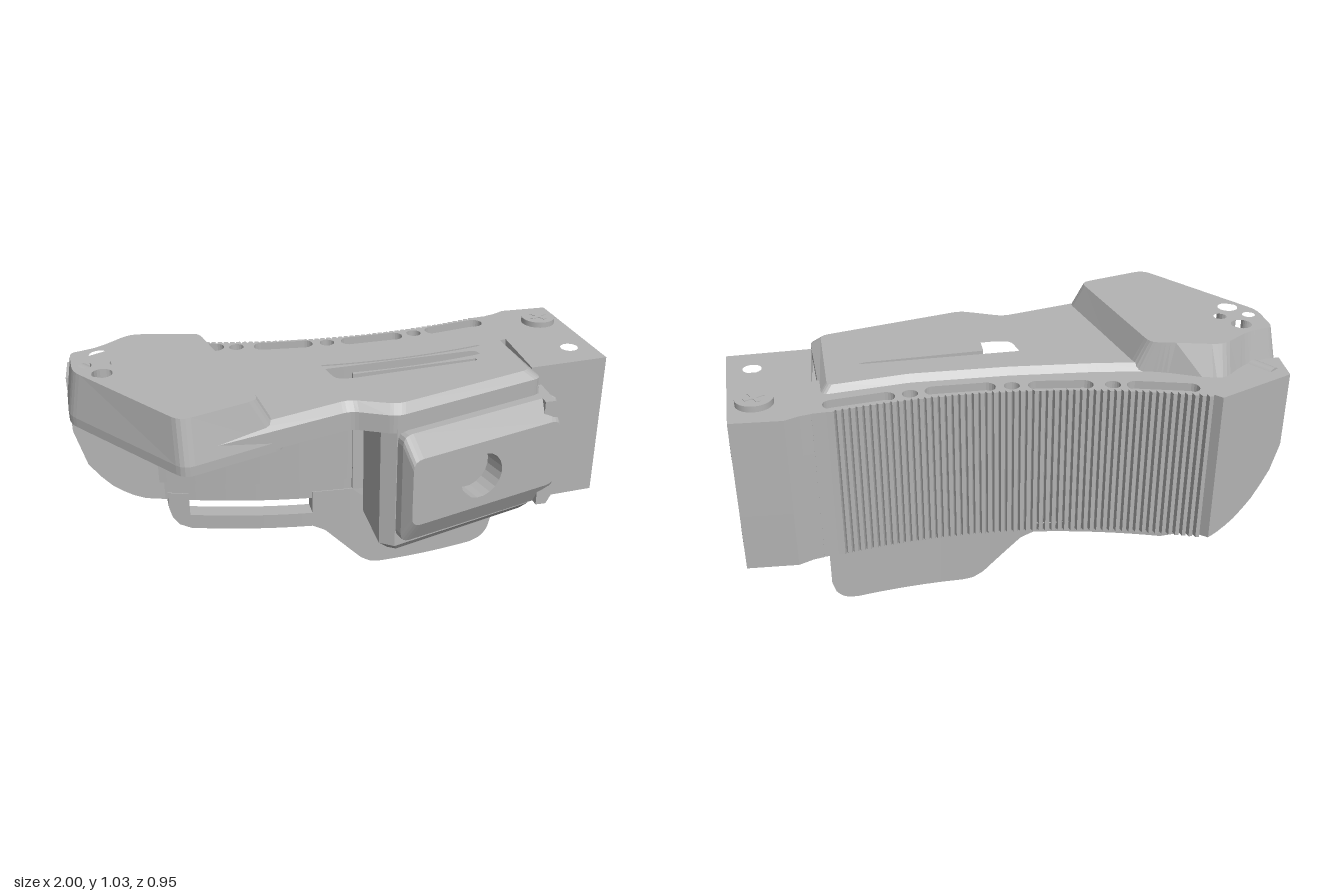
import * as THREE from 'three';
import { mergeGeometries } from 'three/addons/utils/BufferGeometryUtils.js';

const grey = new THREE.MeshStandardMaterial({ color: 0xb3b3b3 });
grey.name = 'plain grey';

// Polygon with softened corners
function soften(pts, r, n = 4) {
  const out = [];
  pts.forEach((p, i) => {
    const toward = (q) => {
      const d = Math.hypot(q[0] - p[0], q[1] - p[1]);
      const k = Math.min(r, d * 0.45) / d;
      return [p[0] + (q[0] - p[0]) * k, p[1] + (q[1] - p[1]) * k];
    };
    const a = toward(pts[(i + pts.length - 1) % pts.length]);
    const b = toward(pts[(i + 1) % pts.length]);
    for (let j = 0; j <= n; j++) {
      const t = j / n, u = 1 - t;
      out.push([0, 1].map((k) => u * u * a[k] + 2 * u * t * p[k] + t * t * b[k]));
    }
  });
  return out;
}

// Round-ended slot outline; equal ends give a circle
function capsule(ax, az, bx, bz, r, n = 10) {
  const dir = Math.atan2(bz - az, bx - ax), out = [];
  for (let j = 0; j < 2 * n; j++) {
    const t = dir + Math.PI / 2 + ((j + 0.5) / n) * Math.PI;
    const [cx, cz] = j < n ? [ax, az] : [bx, bz];
    out.push([cx + r * Math.cos(t), cz + r * Math.sin(t)]);
  }
  return out;
}
const circle = (x, z, r) => capsule(x, z, x, z, r);

// Prism along +z, optionally tapering from its outline to a matching top outline
function prism(outline, depth, holes = [], top = null) {
  const vec = (l) => l.map((p) => new THREE.Vector2(p[0], p[1]));
  const shape = new THREE.Shape(vec(outline));
  holes.forEach((h) => shape.holes.push(new THREE.Path(vec(h))));
  const g = new THREE.ExtrudeGeometry(shape, { depth, bevelEnabled: false });
  const pos = g.attributes.position;
  if (top) {
    for (let i = 0; i < pos.count; i++) {
      if (pos.getZ(i) < depth / 2) continue;
      const k = outline.findIndex((p) => Math.hypot(p[0] - pos.getX(i), p[1] - pos.getY(i)) < 1e-5);
      if (k >= 0) pos.setXY(i, top[k][0], top[k][1]);
    }
    g.computeVertexNormals();
  }
  return g;
}

// Plan outline in (x, z) raised from y0 to y1
function flat(outline, y0, y1, holes = [], top = null) {
  const flip = (l) => l.map(([x, z]) => [x, -z]);
  return prism(flip(outline), y1 - y0, holes.map(flip), top && flip(top))
    .rotateX(-Math.PI / 2).translate(0, y0, 0);
}

// Piecewise linear function through points
const through = (pts) => (x) => {
  let i = 0;
  while (i < pts.length - 2 && x > pts[i + 1][0]) i++;
  const [a, b] = [pts[i], pts[i + 1]];
  return THREE.MathUtils.lerp(a[1], b[1], THREE.MathUtils.clamp((x - a[0]) / (b[0] - a[0]), 0, 1));
};

// Arc followed by the ribbed back, and by the inner face of the curved body
const backZ = (x) => -0.33 - 0.225 * (x - 0.12) ** 2;
const innerZ = (x) => backZ(x) + 0.25;

// Curved wall between two heights and two depths
function wall(x0, x1, lo, hi, zb, zf, n = 32) {
  const g = new THREE.BoxGeometry(1, 1, 1, n, 1, 1), p = g.attributes.position;
  for (let i = 0; i < p.count; i++) {
    const x = x0 + (x1 - x0) * (p.getX(i) + 0.5);
    p.setXYZ(i, x, p.getY(i) > 0 ? hi(x) : lo(x), p.getZ(i) > 0 ? zf(x) : zb(x));
  }
  g.computeVertexNormals();
  return g;
}

export function createModel() {
  const model = new THREE.Group();
  const add = (name, geometry, parent = model) => {
    const m = new THREE.Mesh(geometry, grey);
    m.name = name;
    parent.add(m);
    return m;
  };

  // Curved body: ribbed back, rounded lower end, perforated strip
  const outline = [[0.71, innerZ(0.7)], [0.71, -0.395], [0.64, backZ(0.63)]];
  const ribs = 56, pitch = 1.31 / ribs;
  for (let i = 0; i < ribs; i++) {
    const x = 0.63 - i * pitch;
    outline.push([x, backZ(x)], [x - pitch * 0.6, backZ(x)], [x - pitch * 0.8, backZ(x) + 0.013]);
  }
  for (let i = 0; i <= 8; i++) outline.push([-0.7 - 0.0363 * i, -0.48 + 0.0175 * i]);
  for (let i = 0; i <= 8; i++) outline.push([-1 + 0.04 * i, -0.2 - 0.003 * i]);
  for (let i = 1; i < 24; i++) outline.push([-0.68 + i * 0.058, innerZ(-0.68 + i * 0.058)]);
  const slots = [[-0.61, -0.39, -0.43, -0.345], [-0.25, -0.312, -0.09, -0.295],
    [0.09, -0.282, 0.27, -0.285], [0.44, -0.305, 0.62, -0.335]];
  const singles = [[-0.35, -0.328], [0, -0.286], [0.355, -0.295]].map(([x, z]) => circle(x, z, 0.028));
  const slotHoles = slots.map((s) => capsule(...s, 0.034)).concat(singles);
  const dots = slots.flatMap(([ax, az, bx, bz]) => [0, 1, 2, 3].map((i) =>
    circle(ax + (bx - ax) * i / 3, az + (bz - az) * i / 3, 0.024))).concat(singles);
  const lowEdge = through([[-1, 0.7], [-0.985, 0.6], [-0.95, 0.53], [-0.89, 0.45], [-0.82, 0.39], [-0.75, 0.355], [-0.68, 0.34]]);
  const body = mergeGeometries([flat(outline, 0.34, 0.37, slotHoles),
    flat(outline, 0.37, 0.89, dots), flat(outline, 0.89, 0.92, slotHoles)]);
  const bp = body.attributes.position;
  for (let i = 0; i < bp.count; i++) {
    const lo = lowEdge(bp.getX(i));
    bp.setY(i, lo + (0.92 - lo) * (bp.getY(i) - 0.34) / 0.58);
  }
  body.computeVertexNormals();
  add('curvedBody', body);
  add('innerPanel', wall(-0.71, 0.06, () => 0.42, () => 0.8, innerZ, (x) => innerZ(x) + 0.008));

  // End block: stacked layers, with pockets open on the end face
  const endX = (z) => 0.965 + 0.035 * (z + 0.425) / 0.525;
  const blockOutline = (notch) => [[0.69, 0.12], [0.69, -0.395], [0.73, -0.405], [0.78, -0.43], [0.962, -0.425],
    ...(notch ? [[endX(notch[0]), notch[0]], [notch[2], notch[0]], [notch[2], notch[1]], [endX(notch[1]), notch[1]]] : []),
    [1, 0.1]];
  const longNotch = [-0.385, 0.07, 0.74];
  [[0.34, 0.42, null, [circle(0.885, -0.29, 0.034)]], [0.42, 0.495, longNotch], [0.495, 0.555],
    [0.555, 0.715, [-0.29, 0.015, 0.76]], [0.715, 0.77], [0.77, 0.845, longNotch],
    [0.845, 0.92, null, [circle(0.9, -0.02, 0.034)]],
  ].forEach(([y0, y1, notch, holes]) => add('endBlockLayer', flat(blockOutline(notch), y0, y1, holes)));
  add('latch', new THREE.BoxGeometry(0.08, 0.09, 0.06).translate(0.79, 0.635, -0.215));

  // Screws with cross marks, and their pins inside the pockets
  [[0.88, 0.92, -0.29, 1], [0.9, 0.34, -0.015, -1]].forEach(([x, y, z, s]) => {
    const screw = new THREE.Group();
    screw.name = 'screw';
    screw.position.set(x, y, z);
    add('screwHead', new THREE.CylinderGeometry(0.066, 0.066, 0.022, 32).translate(0, s * 0.011, 0), screw);
    add('screwPin', new THREE.CylinderGeometry(0.033, 0.033, 0.155, 20).translate(0, -s * 0.0775, 0), screw);
    [0.5, 0.5 + Math.PI / 2].forEach((a) =>
      add('screwCross', new THREE.BoxGeometry(0.075, 0.004, 0.016).rotateY(a).translate(0, s * 0.022, 0), screw));
    model.add(screw);
  });

  // Low cover plate with its long window
  const windowHole = soften([[-0.085, -0.06], [0.545, -0.09], [0.555, 0.035], [0.5, 0.06], [0.0, 0.1], [-0.055, 0.09]], 0.03);
  const lowBase = [[-0.6, -0.26], [-0.3, -0.225], [0, -0.21], [0.35, -0.215], [0.66, -0.265], [0.695, 0.2],
    [0.1, 0.37], [-0.05, 0.295], [-0.6, 0.45]];
  const lowTop = [[-0.6, -0.23], [-0.3, -0.2], [0, -0.185], [0.35, -0.19], [0.635, -0.24], [0.655, 0.18],
    [0.11, 0.335], [-0.05, 0.265], [-0.6, 0.425]];
  add('coverEdge', flat(soften(lowBase, 0.03), 0.845, 0.915, [windowHole]));
  add('coverTop', flat(soften(lowBase, 0.03), 0.915, 0.945, [windowHole], soften(lowTop, 0.03)));

  // Raised end of the cover with four small holes
  const highBase = [[-1, -0.2], [-0.94, -0.22], [-0.86, -0.25], [-0.75, -0.36], [-0.52, -0.255], [-0.42, -0.235],
    [-0.29, 0.36], [-0.65, 0.48], [-1, 0]];
  const highTop = [[-0.975, -0.17], [-0.93, -0.18], [-0.87, -0.2], [-0.75, -0.29], [-0.55, -0.245], [-0.5, -0.235],
    [-0.375, 0.355], [-0.65, 0.445], [-0.97, -0.01]];
  const highHoles = [[-0.87, -0.13, 0.038], [-0.87, 0.03, 0.037], [-0.925, -0.05, 0.024], [-0.815, -0.05, 0.024]]
    .map((h) => circle(...h));
  add('raisedCoverEdge', flat(soften(highBase, 0.04), 0.835, 0.87, highHoles.slice(0, 2)));
  add('raisedCover', flat(soften(highBase, 0.04), 0.87, 1.03, highHoles, soften(highTop, 0.04)));
  const pin = add('hingePin', new THREE.CylinderGeometry(0.038, 0.038, 0.11, 20).rotateX(Math.PI / 2));
  pin.position.set(-0.915, 0.89, -0.255);
  pin.rotation.y = 0.6;

  // Front housing wrapped round the window shaft
  const shaft = [[0.05, -0.065], [0.545, -0.09], [0.555, 0.035], [0.5, 0.06], [0.05, 0.098]];
  const housing = [[0.05, 0.33], [0.1, 0.365], [0.69, 0.197], [0.69, -0.2], [0.05, -0.15], ...shaft];
  const housingLow = [[0.085, 0.315], [0.115, 0.335], [0.665, 0.175], [0.665, -0.2], [0.085, -0.15],
    [0.085, -0.065], ...shaft.slice(1, 4), [0.085, 0.098]];
  add('housing', flat(housing, 0.375, 0.88));
  add('housingBottom', flat(housingLow, 0.342, 0.375, [], housing));

  // Chamfered boss on the housing, with a round socket
  const boss = new THREE.Group();
  boss.name = 'boss';
  boss.position.set(0.1, 0, 0.355);
  boss.rotation.y = 0.27;
  const rect = (x0, x1, y0, y1) => soften([[x0, y0], [x1, y0], [x1, y1], [x0, y1]], 0.04);
  const socket = [circle(0.31, 0.63, 0.09)];
  add('bossBase', prism(rect(0, 0.67, 0.41, 0.85), 0.045, socket), boss);
  add('bossFace', prism(rect(0, 0.67, 0.41, 0.85), 0.05, socket, rect(0.015, 0.655, 0.5, 0.77)).translate(0, 0, 0.045), boss);
  model.add(boss);
  const side = [[-0.27, 0.41], [-0.13, 0.41], [-0.13, 0.85], [-0.27, 0.85]];
  const sideTop = [[-0.255, 0.46], [-0.13, 0.46], [-0.13, 0.8], [-0.255, 0.8]];
  add('bossReturn', prism(side, 0.04, [], null).rotateY(Math.PI / 2).translate(0.69, 0, 0));
  add('bossReturnFace', prism(side, 0.04, [], sideTop).rotateY(Math.PI / 2).translate(0.73, 0, 0));

  // Lower tab and its slotted arm, following the body's arc
  const tabLow = through([[-0.67, 0.3], [-0.66, 0.26], [-0.635, 0.225], [-0.59, 0.21], [-0.11, 0.21], [-0.06, 0.185],
    [0.09, 0.03], [0.13, 0.006], [0.17, 0], [0.59, 0], [0.635, 0.012], [0.665, 0.04], [0.68, 0.09]]);
  const tabBack = (x) => innerZ(x) - 0.065;
  [['armEnd', -0.67, -0.59, 0.37], ['armBar', -0.59, -0.11, 0.272], ['tab', -0.11, 0.68, 0.37]].forEach(([name, x0, x1, top]) =>
    add(name, wall(x0, x1, tabLow, () => top, tabBack, (x) => innerZ(x) + 0.004, 60)));

  return model;
}
